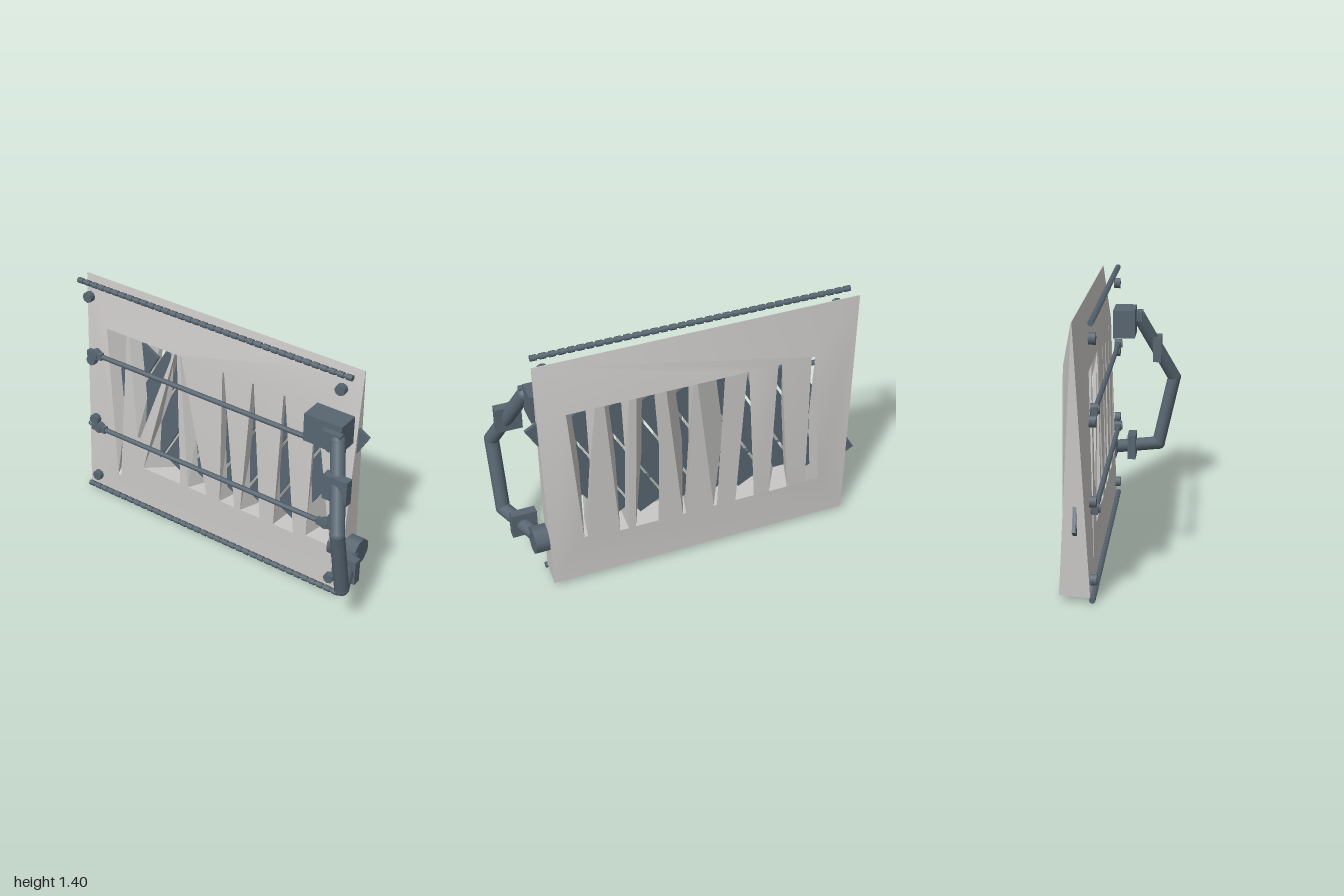
import * as THREE from 'three';

export function createModel() {
  const model = new THREE.Group();
  const shell = new THREE.MeshStandardMaterial({ color: 0xc9c8c6, side: THREE.DoubleSide });
  shell.name = 'pale grey';
  const steel = new THREE.MeshStandardMaterial({ color: 0x586671 });
  steel.name = 'slate metal';

  const add = (name, geometry, x = 0, y = 0, z = 0, material = steel) => {
    const mesh = new THREE.Mesh(geometry, material);
    mesh.name = name;
    mesh.position.set(x, y, z);
    model.add(mesh);
    return mesh;
  };
  const box = (name, w, h, d, x, y, z) => add(name, new THREE.BoxGeometry(w, h, d), x, y, z);
  const rod = (name, a, b, r, sides = 16) => {
    const p = new THREE.Vector3(...a), q = new THREE.Vector3(...b);
    const mesh = add(name, new THREE.CylinderGeometry(r, r, p.distanceTo(q), sides));
    mesh.position.copy(p).add(q).multiplyScalar(0.5);
    mesh.quaternion.setFromUnitVectors(new THREE.Vector3(0, 1, 0), q.sub(p).normalize());
    return mesh;
  };

  // Slots: each is [left top, right top, right bottom, left bottom, bottom y] on both faces
  const TOP = 1.12;
  const slots = [
    { front: [-0.78, -0.64, -0.71, -0.73, 0.16], back: [-0.68, -0.66, -0.67, -0.75, 0.28] },
    { front: [-0.62, -0.32, -0.56, -0.58, 0.48], back: [-0.49, -0.47, -0.45, -0.56, 0.28] },
    { front: [-0.31, -0.295, -0.275, -0.54, 0.28], back: [-0.305, -0.295, -0.25, -0.36, 0.28] },
    { front: [-0.275, -0.265, -0.09, -0.22, 0.28], back: [-0.17, -0.02, -0.12, -0.14, 0.28] },
    { front: [0.005, 0.015, 0.10, 0.0, 0.28], back: [0.0, 0.15, 0.06, 0.04, 0.28] },
    { front: [0.195, 0.205, 0.27, 0.14, 0.28], back: [0.19, 0.31, 0.33, 0.2, 0.28] },
    { front: [0.39, 0.40, 0.49, 0.36, 0.28], back: [0.35, 0.48, 0.42, 0.37, 0.28] },
    { front: [0.585, 0.595, 0.72, 0.57, 0.3], back: [0.53, 0.68, 0.62, 0.60, 0.3] },
  ];
  const corners = ([lt, rt, rb, lb, low]) => [[lt, TOP], [rt, TOP], [rb, low], [lb, low]];

  // Face depth: wide at the foot, closing to a ridge along the top edge
  const depth = {
    front: (y) => (y > 1.3 ? -0.187 : -0.11 - 0.014 * y),
    back: (y) => (y > 1.3 ? -0.19 : -0.266 + 0.005 * y),
  };
  const outlines = {
    front: [[-0.94, 0.03], [0.79, 0.03], [0.82, 1.39], [-0.955, 1.39]],
    back: [[-0.91, 0.03], [0.80, 0.03], [0.82, 1.39], [-0.955, 1.39]],
  };
  const toPath = (points, path) => path.setFromPoints(points.map((p) => new THREE.Vector2(...p)));
  for (const side of ['front', 'back']) {
    const shape = toPath(outlines[side], new THREE.Shape());
    shape.holes = slots.map((s) => toPath(corners(s[side]), new THREE.Path()));
    const geometry = new THREE.ShapeGeometry(shape);
    const pos = geometry.attributes.position;
    for (let i = 0; i < pos.count; i++) pos.setZ(i, depth[side](pos.getY(i)));
    if (side === 'back') geometry.index.array.reverse();
    geometry.computeVertexNormals();
    add(side + 'Face', geometry, 0, 0, 0, shell);
  }

  // Walls joining the front and back loops
  const walls = (name, front, back) => {
    const verts = [];
    front.forEach((p, i) => {
      const j = (i + 1) % front.length;
      const a = [...p, depth.front(p[1])];
      const b = [...front[j], depth.front(front[j][1])];
      const c = [...back[j], depth.back(back[j][1])];
      const d = [...back[i], depth.back(back[i][1])];
      verts.push(...a, ...d, ...c, ...a, ...c, ...b);
    });
    const geometry = new THREE.BufferGeometry();
    geometry.setAttribute('position', new THREE.Float32BufferAttribute(verts, 3));
    geometry.computeVertexNormals();
    add(name, geometry, 0, 0, 0, shell);
  };
  walls('outerEdge', outlines.front, outlines.back);
  slots.forEach((s) => walls('slotWall', corners(s.front), corners(s.back)));

  // Diagonal slats inside the panel
  for (let i = 0; i < 8; i++) {
    const slat = box('slat', 0.82, 0.15, 0.018, -0.73 + i * 0.191, 0.7, -0.182);
    slat.rotation.z = Math.PI / 3;
  }

  // Beaded strips along the top and bottom
  for (const y of [0.018, 1.385]) {
    rod('stripCore', [-0.94, y, -0.1], [0.8, y, -0.1], 0.011, 8);
    for (let i = 0; i < 36; i++) {
      const x = -0.925 + i * 0.0488;
      rod('stripBead', [x - 0.017, y, -0.1], [x + 0.017, y, -0.1], 0.016, 8);
    }
  }

  // Corner and edge bolts
  for (const x of [-0.875, 0.74])
    for (const y of [0.1, 0.5, 0.9, 1.3])
      rod('bolt', [x, y, -0.117], [x, y, -0.082], 0.03, 8);

  // Cross rails with end brackets
  for (const y of [0.95, 0.457]) {
    rod('crossRail', [-0.84, y, -0.09], [0.7, y, -0.09], 0.014, 8);
    for (const [x, s] of [[-0.84, 1], [0.7, -1]]) {
      box('railBracket', 0.1, 0.038, 0.03, x - 0.0 * s, y, -0.09);
      rod('bracketPin', [x, y, -0.11], [x, y, -0.068], 0.022, 8);
      rod('bracketHub', [x, y, -0.113], [x, y, -0.076], 0.03, 8);
    }
  }

  // Jointed handle arm
  box('shoulderBlock', 0.22, 0.16, 0.125, 0.71, 1.083, -0.052);
  box('shoulderTab', 0.11, 0.055, 0.035, 0.78, 1.105, 0.03);
  const joints = [[0.81, 1.09, 0.025], [0.955, 0.7, 0.228], [0.95, 0.288, 0.135], [0.85, 0.288, -0.13]];
  joints.forEach((p, i) => {
    if (i < 3) {
      rod('armSegment', p, joints[i + 1], 0.039);
      add('armJoint', new THREE.SphereGeometry(0.04, 16, 10), ...p);
    }
  });
  box('upperCuff', 0.14, 0.145, 0.048, 0.88, 0.892, 0.13);
  box('lowerCuff', 0.14, 0.145, 0.048, 0.88, 0.292, -0.021);
  const knob = rod('pivotKnob', [0.71, 0.29, -0.177], [0.88, 0.29, -0.177], 0.078, 8);
  knob.rotateY(Math.PI / 8);

  return model;
}
